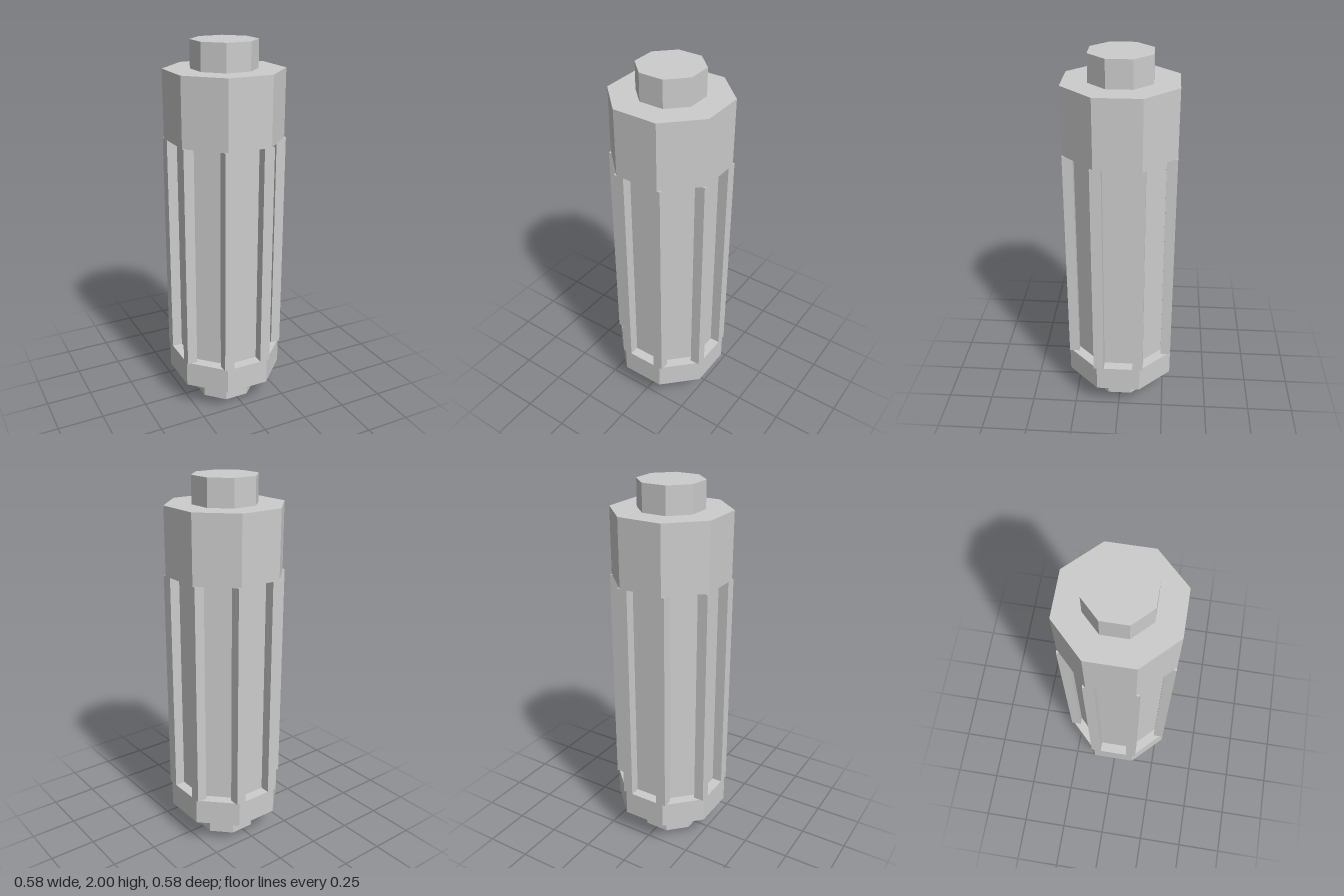
import * as THREE from 'three';

// Eight-sided prism with flats facing the axes; r is centre-to-flat
function octPrism(r, y0, y1, material, name) {
  const radius = r / Math.cos(Math.PI / 8);
  const geometry = new THREE.CylinderGeometry(radius, radius, y1 - y0, 8);
  geometry.rotateY(Math.PI / 8);
  const mesh = new THREE.Mesh(geometry, material);
  mesh.position.y = (y0 + y1) / 2;
  mesh.name = name;
  return mesh;
}

export function createModel() {
  const grey = new THREE.MeshStandardMaterial({ color: 0xcccccc, flatShading: true });
  grey.name = 'grey metal';

  const group = new THREE.Group();
  group.name = 'ribbedCylinder';

  // End pins, collars and the narrower core between them
  group.add(
    octPrism(0.16, 0, 0.144, grey, 'lowerPin'),
    octPrism(0.29, 0.144, 0.285, grey, 'lowerCollar'),
    octPrism(0.235, 0.285, 1.5, grey, 'core'),
    octPrism(0.29, 1.5, 1.857, grey, 'upperCollar'),
    octPrism(0.16, 1.857, 2, grey, 'upperPin')
  );

  // Two upright ribs on each axis-facing side, overhanging the core's corners
  const ribGeometry = new THREE.BoxGeometry(0.055, 1.215, 0.057);
  for (let i = 0; i < 4; i++) {
    const side = new THREE.Group();
    side.name = 'ribPair';
    side.rotation.y = i * Math.PI / 2;
    for (const s of [-1, 1]) {
      const rib = new THREE.Mesh(ribGeometry, grey);
      rib.position.set(0.2625, 0.8925, s * 0.1085);
      rib.name = 'rib';
      side.add(rib);
    }
    group.add(side);
  }

  return group;
}
